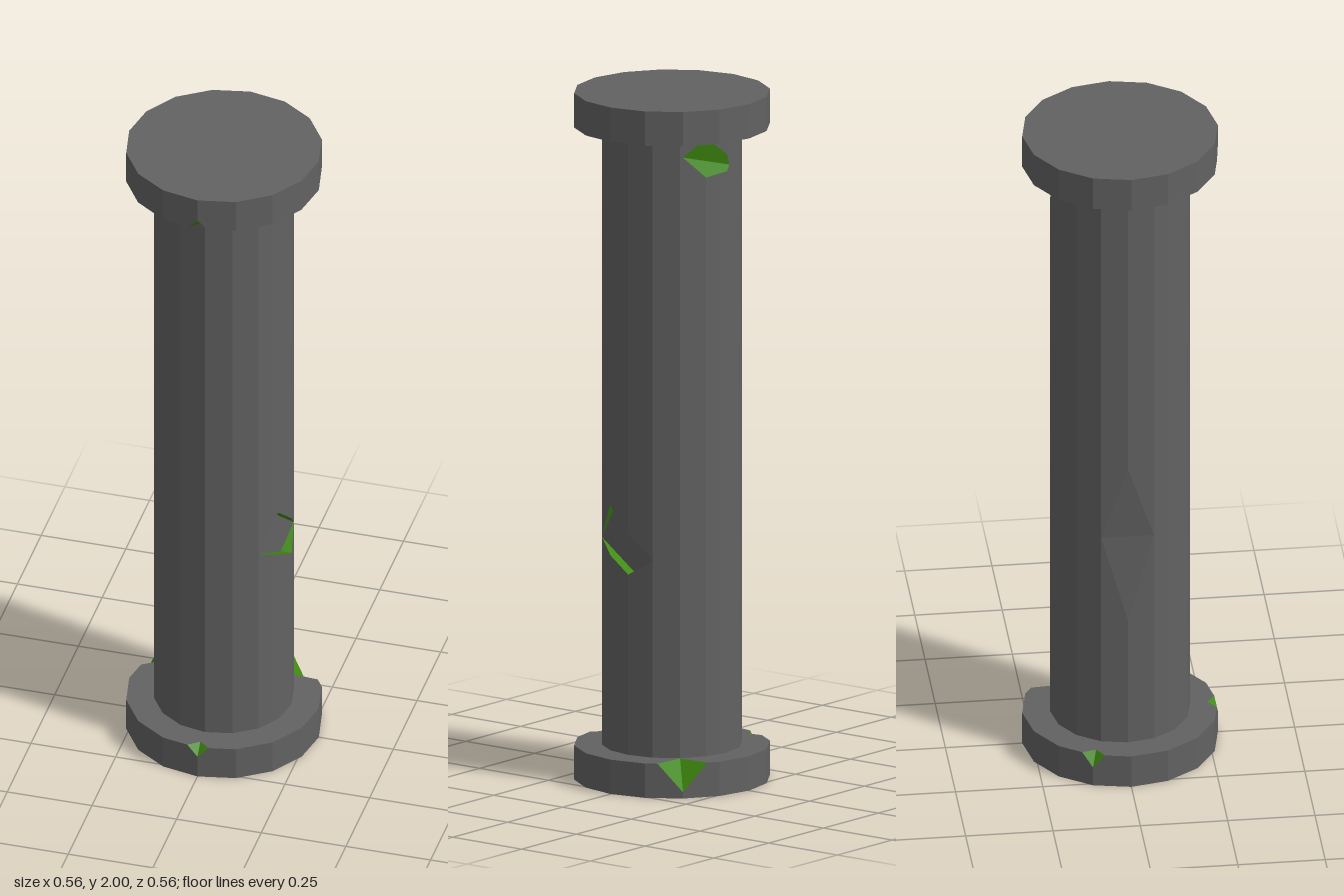
import * as THREE from 'three';

const SIDES = 16;
const v = (x, y, z) => new THREE.Vector3(x, y, z);
const polar = (r, deg, y) => {
  const a = THREE.MathUtils.degToRad(deg);
  return v(r * Math.sin(a), y, r * Math.cos(a));
};

// Faces of an upright sixteen-sided prism
function prism(r, y0, y1) {
  const ring = (y) => Array.from({ length: SIDES }, (_, i) => polar(r, (i * 360) / SIDES, y));
  const lo = ring(y0), hi = ring(y1);
  const faces = [hi, [...lo].reverse()];
  for (let i = 0; i < SIDES; i++) {
    const j = (i + 1) % SIDES;
    faces.push([lo[i], lo[j], hi[j], hi[i]]);
  }
  return faces;
}

// Plane through three points, with the given point on its negative side
function planeThrough(a, b, c, inside) {
  const p = new THREE.Plane().setFromCoplanarPoints(a, b, c);
  return p.distanceToPoint(inside) > 0 ? p.negate() : p;
}

// Part of a polygon on one side of a plane (sign 1: behind it, -1: in front)
function clip(poly, plane, sign) {
  const out = [];
  poly.forEach((a, i) => {
    const b = poly[(i + 1) % poly.length];
    const da = sign * plane.distanceToPoint(a), db = sign * plane.distanceToPoint(b);
    if (da <= 1e-6) out.push(a);
    if ((da < -1e-6 && db > 1e-6) || (da > 1e-6 && db < -1e-6)) out.push(a.clone().lerp(b, da / (da - db)));
  });
  return out.length > 2 ? out : [];
}

// Large square on a plane, facing against its normal
function sheet(plane) {
  const n = plane.normal, o = plane.coplanarPoint(v(0, 0, 0));
  const u = (Math.abs(n.y) < 0.9 ? v(0, 1, 0) : v(1, 0, 0)).cross(n).normalize();
  const w = n.clone().cross(u);
  return [[-9, -9], [-9, 9], [9, 9], [9, -9]].map(([s, t]) =>
    o.clone().addScaledVector(u, s).addScaledVector(w, t));
}

// V-shaped cut: floor line e1-e2, one wall through a, the other through b
const wedge = (e1, e2, a, b, colour) => [
  { plane: planeThrough(e1, e2, a, b), colour },
  { plane: planeThrough(e1, e2, b, a), colour },
];

// Chip in a rim: half width in degrees, inner radius, rim height and apex height
const rimChip = (deg, half, inner, rimY, apexY) =>
  wedge(polar(inner, deg, rimY), polar(0.28, deg, apexY),
    polar(0.275, deg - half, rimY), polar(0.275, deg + half, rimY), 1);

// Pocket sunk along x, with an outline of [z, y] points and a sloped floor
function pocket(outline) {
  const mid = v(1, 0, 0);
  outline.forEach(([z, y]) => mid.add(v(0, y / outline.length, z / outline.length)));
  const walls = outline.map(([z, y], i) => {
    const [z2, y2] = outline[(i + 1) % outline.length];
    return { plane: planeThrough(v(0, y, z), v(1, y, z), v(0, y2, z2), mid), colour: 1 };
  });
  const floor = planeThrough(v(0.168, 0, 0), v(0.168, 1, 0), v(0.149, 0, 0.1), mid);
  return [...walls, { plane: floor, colour: 0 }];
}

// Convex solid with its cuts removed; group 0 is stone, group 1 is moss
function carved(name, faces, cuts, materials) {
  const hull = faces.map((f) => new THREE.Plane().setFromCoplanarPoints(f[0], f[1], f[2]));
  let skin = faces;
  const groups = [[], []];
  for (const cut of cuts) {
    const kept = [];
    for (let poly of skin) {
      // leave faces alone that the cut does not touch
      if (!cut.reduce((p, c) => clip(p, c.plane, 1), poly).length) {
        kept.push(poly);
        continue;
      }
      for (const { plane } of cut) {
        kept.push(clip(poly, plane, -1));
        poly = clip(poly, plane, 1);
      }
    }
    skin = kept.filter((p) => p.length);
    // walls and floor of the cut
    for (const c of cut) {
      let poly = sheet(c.plane);
      for (const other of cut) if (other !== c) poly = clip(poly, other.plane, 1);
      for (const plane of hull) poly = clip(poly, plane, 1);
      if (poly.length) groups[c.colour].push(poly);
    }
  }
  groups[0].push(...skin);

  const pos = [];
  const geo = new THREE.BufferGeometry();
  groups.forEach((polys, g) => {
    const start = pos.length / 3;
    for (const p of polys)
      for (let i = 1; i < p.length - 1; i++)
        for (const q of [p[0], p[i], p[i + 1]]) pos.push(q.x, q.y, q.z);
    geo.addGroup(start, pos.length / 3 - start, g);
  });
  geo.setAttribute('position', new THREE.Float32BufferAttribute(pos, 3));
  geo.computeVertexNormals();
  const mesh = new THREE.Mesh(geo, materials);
  mesh.name = name;
  return mesh;
}

export function createModel() {
  const stone = new THREE.MeshStandardMaterial({ color: 0x626262 });
  stone.name = 'stone';
  const moss = new THREE.MeshStandardMaterial({ color: 0x3f8a10 });
  moss.name = 'moss';
  const materials = [stone, moss];

  const model = new THREE.Group();
  model.name = 'column';

  // Base with three chips in its upper rim
  model.add(carved('base', prism(0.28, 0, 0.1), [
    rimChip(0, 6.5, 0.25, 0.1, 0.068),
    rimChip(-112.5, 7, 0.25, 0.1, 0.058),
    rimChip(135, 15, 0.205, 0.1, 0.018),
  ], materials));

  // Shaft with a long gouge, a mossy pocket and a mossy notch at the top
  model.add(carved('shaft', prism(0.2, 0.1, 1.9), [
    wedge(v(-0.185, 0.77, -0.0765), v(-0.185, 0.77, 0.0765), v(-0.2, 1, 0), v(-0.2, 0.5, 0), 0),
    pocket([[0.08, 0.815], [-0.08, 0.675], [0, 0.625], [0.142, 0.705]]),
    wedge(v(0.138, 1.85, -0.145), v(-0.015, 1.81, -0.197), v(0.065, 1.9, -0.189), v(0.065, 1.785, -0.188), 1),
  ], materials));

  // Cap with one chip in its lower rim
  model.add(carved('cap', prism(0.28, 1.9, 2), [
    rimChip(0, 5.5, 0.25, 1.9, 1.93),
  ], materials));

  return model;
}
